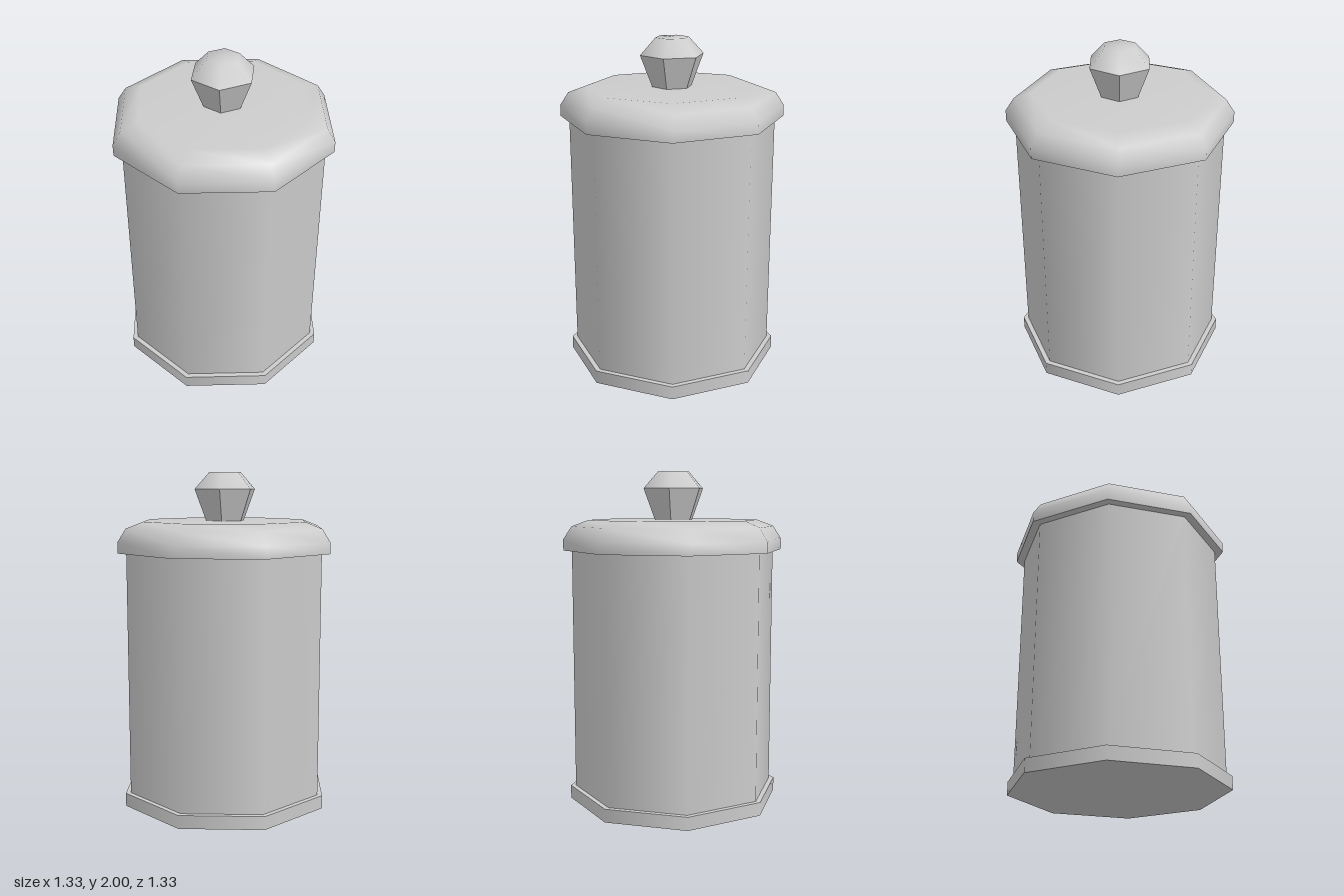
import * as THREE from 'three';

export function createModel() {
  const model = new THREE.Group();
  model.name = 'lidded canister';
  const grey = new THREE.MeshStandardMaterial({ color: 0xcccccc });
  grey.name = 'light grey';

  const add = (name, geometry, y = 0) => {
    const mesh = new THREE.Mesh(geometry, grey);
    mesh.name = name;
    mesh.position.y = y;
    model.add(mesh);
    return mesh;
  };
  // Smooth-shaded revolved profile, listed from bottom to top
  const lathe = (profile, sides) =>
    new THREE.LatheGeometry(profile.map(([r, y]) => new THREE.Vector2(r, y)), sides);
  // Flat disc facing down, with a corner on the z axis like the lathes
  const underside = (radius, sides) =>
    new THREE.CircleGeometry(radius, sides, Math.PI / 2).rotateX(Math.PI / 2);

  // Octagonal foot and body
  add('foot', new THREE.CylinderGeometry(0.643, 0.643, 0.08, 8), 0.04);
  add('body', new THREE.CylinderGeometry(0.612, 0.612, 1.47, 8, 1, true), 0.81);

  // Lid with rounded shoulder
  add('lid', lathe([[0.663, 1.535], [0.663, 1.6], [0.613, 1.677], [0.51, 1.715], [0, 1.715]], 8));
  add('lidUnderside', underside(0.663, 8), 1.535);

  // Six-sided knob: faceted stem and smooth crown, corners on the x axis
  const stem = new THREE.CylinderGeometry(0.192, 0.12, 0.187, 6, 1, true).toNonIndexed();
  stem.computeVertexNormals();
  add('knobStem', stem, 1.8075).rotation.y = Math.PI / 6;
  add('knobCrown', lathe([[0.192, 1.901], [0.1, 2], [0, 2]], 6)).rotation.y = Math.PI / 6;

  return model;
}
